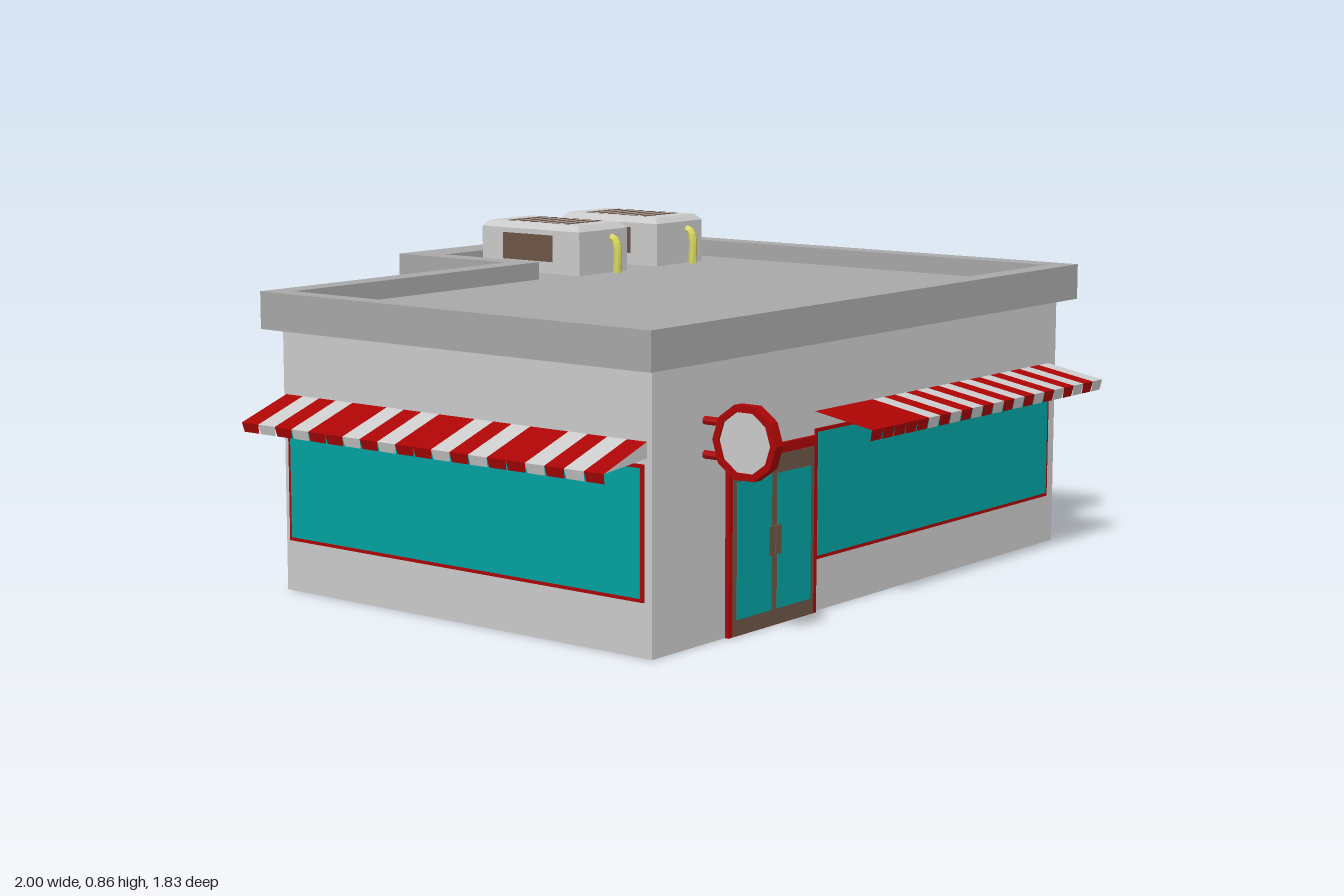
import * as THREE from 'three';

const mat = (color) => new THREE.MeshStandardMaterial({ color, flatShading: true, side: THREE.DoubleSide });
const wallMat = mat(0xcccccc), roofMat = mat(0xa8a8a8), red = mat(0xac0505);
const glass = mat(0x02a2a2), brown = mat(0x6e5547), yellow = mat(0xd8d860);

const WALL_X0 = -0.847, WALL_X1 = 0.921, FRONT = 0.702, BACK = -0.485, EAVES = 0.67;

function add(parent, name, geometry, material, x = 0, y = 0, z = 0) {
  const mesh = new THREE.Mesh(geometry, material);
  mesh.name = name;
  mesh.position.set(x, y, z);
  parent.add(mesh);
  return mesh;
}

function box(parent, name, material, w, h, d, x, y, z) {
  return add(parent, name, new THREE.BoxGeometry(w, h, d), material, x, y, z);
}

// L-shaped floor plan: wide front block with a narrower wing at the back right
function plan(x0, x1, front, back, notch, wing) {
  return [[x0, front], [x1, front], [x1, wing], [notch, wing], [notch, back], [x0, back]]
    .map(([x, z]) => new THREE.Vector2(x, -z));
}

// Thin walls standing on each edge of the plan
function buildWalls(parent, outline) {
  outline.forEach((a, i) => {
    const b = outline[(i + 1) % outline.length];
    const wall = add(parent, 'wall', new THREE.PlaneGeometry(a.distanceTo(b), EAVES), wallMat,
      (a.x + b.x) / 2, EAVES / 2, -(a.y + b.y) / 2);
    wall.rotation.y = Math.atan2(b.y - a.y, b.x - a.x);
  });
}

// Raised rim around a thin, sunken roof deck
function buildRoof(parent) {
  const inner = plan(-0.842, 0.9, 0.677, -0.447, 0.088, -0.797);
  const rim = new THREE.Shape(plan(-0.896, 0.97, 0.738, -0.513, 0.023, -0.916));
  rim.holes.push(new THREE.Path(inner));
  const rimGeo = new THREE.ExtrudeGeometry(rim, { depth: 0.095, bevelEnabled: false });
  add(parent, 'roofRim', rimGeo.rotateX(-Math.PI / 2), roofMat, 0, EAVES, 0);
  const deckGeo = new THREE.ShapeGeometry(new THREE.Shape(inner));
  add(parent, 'roofDeck', deckGeo.rotateX(-Math.PI / 2), roofMat, 0, 0.717, 0);
}

// Group on a wall: local x runs along the wall, local z points outwards
function mount(parent, name, x, z, angle) {
  const g = new THREE.Group();
  g.name = name;
  g.position.set(x, 0, z);
  g.rotation.y = angle;
  parent.add(g);
  return g;
}

function buildWindow(g, width, top) {
  const y0 = 0.13, h = top - y0, mid = y0 + h / 2;
  box(g, 'windowFrame', red, width, h, 0.008, 0, mid, 0);
  box(g, 'windowPane', glass, width - 0.018, h - 0.018, 0.012, 0, mid, 0);
}

// Striped sloping sheet with a short hanging valance
function buildAwning(g, width, pattern, { top, edge, bottom, depth, ends }) {
  const w = width / pattern.length;
  const profile = [[top, 0], [edge, depth], [bottom, depth - 0.006]];
  [...pattern].forEach((c, i) => {
    const geo = new THREE.PlaneGeometry(w, 1, 1, 2);
    const p = geo.attributes.position;
    for (let k = 0; k < p.count; k++) {
      const [y, z] = profile[Math.floor(k / 2)];
      p.setXYZ(k, p.getX(k) * (k > 3 ? 0.9 : 1), y, z);
    }
    geo.computeVertexNormals();
    add(g, 'awningStripe', geo, c === 'R' ? red : wallMat, (i + 0.5) * w - width / 2);
  });
  if (!ends) return;
  for (const side of [-1, 1]) {
    const tri = new THREE.Shape([[0, top], [-depth, edge], [0, edge + 0.015]]
      .map(([x, y]) => new THREE.Vector2(x, y)));
    add(g, 'awningEnd', new THREE.ShapeGeometry(tri).rotateY(Math.PI / 2), ends, side * width / 2);
  }
}

function buildDoor(g) {
  box(g, 'doorFrame', red, 0.355, 0.44, 0.022, 0, 0.22, 0);
  box(g, 'doorLeaves', brown, 0.326, 0.415, 0.025, 0, 0.2085, 0);
  for (const s of [-1, 1]) {
    box(g, 'doorPane', glass, 0.137, 0.33, 0.028, s * 0.08, 0.205, 0);
    box(g, 'doorHandle', brown, 0.022, 0.07, 0.006, s * 0.013, 0.21, 0.014);
  }
}

function buildCoolingUnit(parent, x) {
  const g = mount(parent, 'coolingUnit', x, -0.595, 0);
  const w = 0.21, d = 0.362;
  box(g, 'unitBody', wallMat, w, 0.123, d, 0, 0.7775, 0);
  // Bevelled lid
  const lid = new THREE.BoxGeometry(w, 0.017, d);
  const p = lid.attributes.position;
  for (let i = 0; i < p.count; i++) {
    const inset = p.getY(i) > 0 ? 0.015 : 0;
    p.setX(i, p.getX(i) - Math.sign(p.getX(i)) * inset);
    p.setZ(i, p.getZ(i) - Math.sign(p.getZ(i)) * inset);
  }
  lid.computeVertexNormals();
  add(g, 'unitLid', lid, wallMat, 0, 0.8475, 0);
  for (let i = 0; i < 6; i++) box(g, 'topSlat', brown, 0.148, 0.002, 0.018, 0, 0.8565, -0.1 + i * 0.041);
  box(g, 'sideGrille', brown, w + 0.002, 0.075, 0.185, 0, 0.7875, -0.01);
  // Pipe bending from the unit down to the roof
  const path = new THREE.CatmullRomCurve3([
    [0.038, 0.815, 0.17], [0.038, 0.812, 0.19], [0.038, 0.79, 0.2], [0.038, 0.717, 0.2],
  ].map((v) => new THREE.Vector3(...v)));
  add(g, 'pipe', new THREE.TubeGeometry(path, 10, 0.012, 8), yellow);
}

function buildSign(parent) {
  const g = mount(parent, 'hangingSign', -0.652, 0.825, 0);
  const r = 0.091, n = 10;
  const polygon = (radius) => Array.from({ length: n }, (_, i) => {
    const a = (i + 0.5) * 2 * Math.PI / n + Math.PI / 2;
    return new THREE.Vector2(radius * Math.cos(a), radius * Math.sin(a));
  });
  const plate = (shape, depth) => new THREE.ExtrudeGeometry(shape, { depth, bevelEnabled: false })
    .translate(0, 0, -depth / 2).rotateY(Math.PI / 2);
  const ring = new THREE.Shape(polygon(r));
  ring.holes.push(new THREE.Path(polygon(r - 0.017)));
  add(g, 'signRing', plate(ring, 0.028), red, 0, 0.49, 0);
  add(g, 'signFace', plate(new THREE.Shape(polygon(r - 0.017)), 0.016), wallMat, 0, 0.49, 0);
  for (const y of [0.45, 0.53]) {
    add(g, 'signBracket', new THREE.CylinderGeometry(0.01, 0.01, 0.055, 8).rotateX(Math.PI / 2), red, 0, y, -0.0985);
  }
}

export function createModel() {
  const model = new THREE.Group();
  model.name = 'shop';

  buildWalls(model, plan(WALL_X0, WALL_X1, FRONT, BACK, 0.07, -0.842));
  buildRoof(model);

  // Windows and awnings on three sides
  const front = mount(model, 'frontWindow', 0.335, FRONT, 0);
  buildWindow(front, 1.1, 0.455);
  buildAwning(front, 1.1, 'RRRRR' + 'WR'.repeat(8) + 'W',
    { top: 0.498, edge: 0.468, bottom: 0.44, depth: 0.168 });

  const left = mount(model, 'leftWindow', WALL_X0, 0.105, -Math.PI / 2);
  buildWindow(left, 1.15, 0.45);
  buildAwning(left, 1.165, 'RWRWR'.repeat(4),
    { top: 0.503, edge: 0.45, bottom: 0.426, depth: 0.153, ends: wallMat });

  const right = mount(model, 'rightWindow', WALL_X1, -0.073, Math.PI / 2);
  buildWindow(right, 0.73, 0.455);
  buildAwning(right, 0.8, 'RWRWR',
    { top: 0.513, edge: 0.465, bottom: 0.441, depth: 0.079, ends: red });

  // Double doors at front and back
  buildDoor(mount(model, 'frontDoor', -0.395, FRONT, 0));
  buildDoor(mount(model, 'backDoor', -0.121, BACK, Math.PI));

  buildSign(model);
  for (const x of [0.326, 0.672]) buildCoolingUnit(model, x);
  return model;
}
